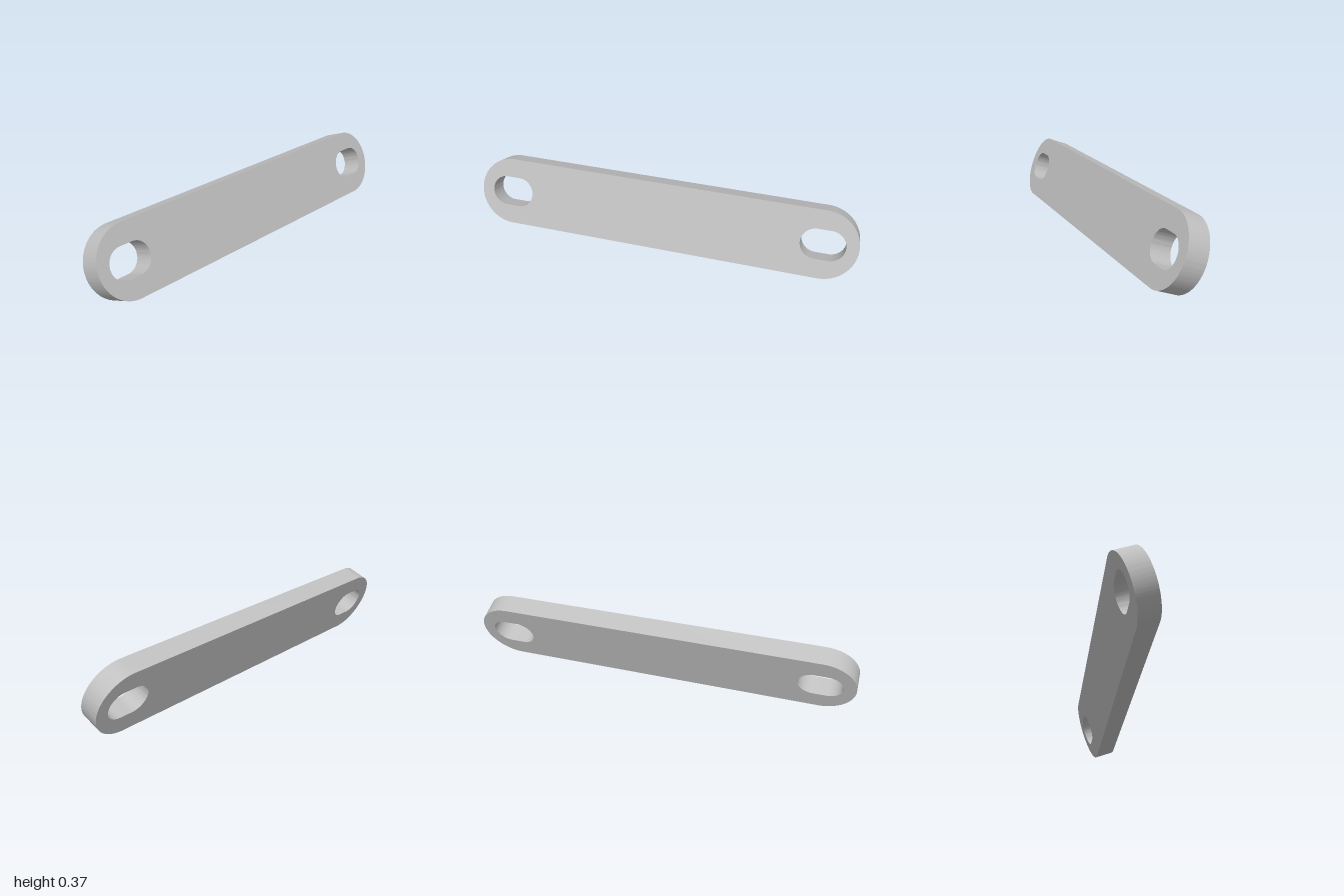
import * as THREE from 'three';
import { toCreasedNormals } from 'three/addons/utils/BufferGeometryUtils.js';

const WIDTH = 0.354, THICKNESS = 0.105, TILT = THREE.MathUtils.degToRad(20);

// Traces a rounded-end outline lying along x
function stadium(path, cx, halfStraight, radius) {
  path.absarc(cx + halfStraight, 0, radius, -Math.PI / 2, Math.PI / 2, false);
  path.absarc(cx - halfStraight, 0, radius, Math.PI / 2, Math.PI * 1.5, false);
  path.closePath();
  return path;
}

export function createModel() {
  const group = new THREE.Group();
  group.name = 'slottedLink';
  const metal = new THREE.MeshStandardMaterial({ color: 0xc0c0c0 });
  metal.name = 'light grey metal';

  // Bar outline with one slot near each end
  const outline = stadium(new THREE.Shape(), 0, 1 - WIDTH / 2, WIDTH / 2);
  for (const side of [-1, 1]) {
    outline.holes.push(stadium(new THREE.Path(), side * 0.825, 0.034, 0.078));
  }

  const extruded = new THREE.ExtrudeGeometry(outline, {
    depth: THICKNESS, bevelEnabled: false, curveSegments: 40,
  });
  extruded.translate(0, 0, -THICKNESS / 2);
  const bar = new THREE.Mesh(toCreasedNormals(extruded, Math.PI / 6), metal);
  bar.name = 'slottedBar';

  // Lean the bar back, resting on its lower edge
  bar.rotation.x = -TILT;
  bar.position.y = (WIDTH * Math.cos(TILT) + THICKNESS * Math.sin(TILT)) / 2;
  group.add(bar);
  return group;
}
